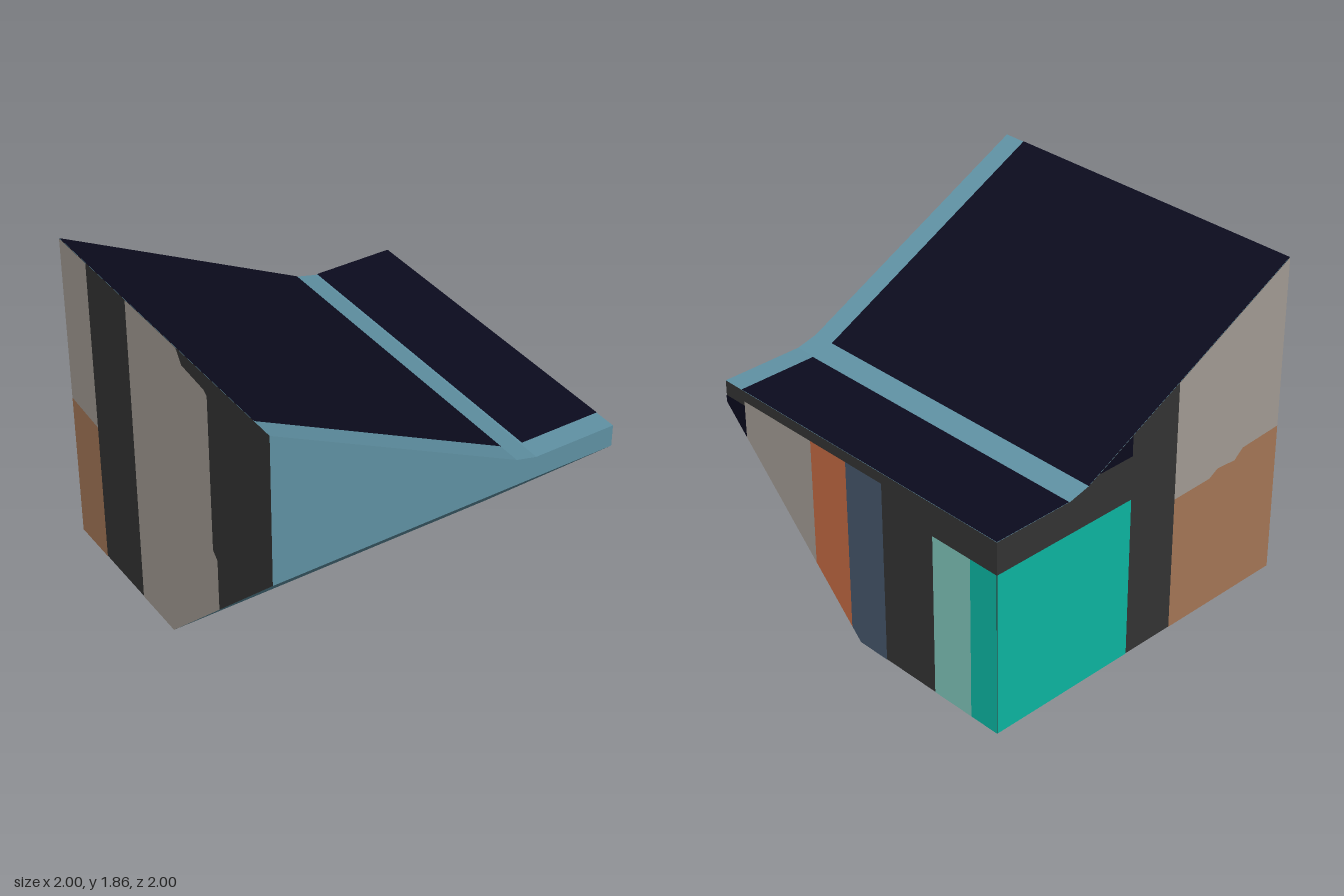
import * as THREE from 'three';

const paint = (name, color) => {
  const m = new THREE.MeshStandardMaterial({ color });
  m.name = name;
  return m;
};

export function createModel() {
  const model = new THREE.Group();
  model.name = 'slopedBlock';

  const steelBlue = paint('steelBlue', 0x6092a4);
  const navy = paint('navy', 0x0b0b1e);
  const charcoal = paint('charcoal', 0x353535);
  const beige = paint('beige', 0xa7a098);
  const orange = paint('orange', 0xc86c45);
  const slate = paint('slate', 0x47596e);
  const mint = paint('mint', 0x81c9bd);
  const teal = paint('teal', 0x0dbba6);
  const brown = paint('brown', 0xa97a59);

  const LIFT = 0.002; // painted panels sit just off the walls
  const ridge = [-1, 1.86], valley = [0.4, 1.155], lip = [0.52, 1.125], eave = [1, 1.125];
  const roofLine = [ridge, valley, lip, eave];

  // Flat four-cornered face, corners counter-clockwise from outside
  function quad(name, material, corners) {
    const g = new THREE.BufferGeometry();
    g.setAttribute('position', new THREE.Float32BufferAttribute(corners.flat(), 3));
    g.setIndex([0, 1, 2, 0, 2, 3]);
    g.computeVertexNormals();
    const mesh = new THREE.Mesh(g, material);
    mesh.name = name;
    model.add(mesh);
  }

  // Roof segment between two profile points
  const roof = (name, material, [x0, y0], [x1, y1], front, lift = 0) =>
    quad(name, material, [
      [x0, y0 + lift, front], [x1, y1 + lift, front],
      [x1, y1 + lift, -1], [x0, y0 + lift, -1]]);

  // Upright wall; outlines are given in world (x or z, y)
  function wall(name, angle, sign) {
    const group = new THREE.Group();
    group.name = name;
    group.rotation.y = angle;
    model.add(group);
    return (part, material, outline, lift = LIFT) => {
      const shape = new THREE.Shape(outline.map(([s, y]) => new THREE.Vector2(sign * s, y)));
      const mesh = new THREE.Mesh(new THREE.ShapeGeometry(shape), material);
      mesh.name = part;
      mesh.position.z = 1 + lift;
      group.add(mesh);
    };
  }

  // Roof skin and its two dark panels
  for (let i = 0; i < 3; i++) roof('roofSkin', steelBlue, roofLine[i], roofLine[i + 1], 1);
  roof('pitchedRoofPanel', navy, ridge, valley, 0.87, LIFT);
  roof('flatRoofPanel', navy, [0.53, 1.125], eave, 0.87, LIFT);

  // Sloping underside and base
  quad('undercut', steelBlue, [[-1, 0, 0], [1, 0, 0], [1, 1, 1], [-1, 1, 1]]);
  quad('base', steelBlue, [[-1, 0, -1], [1, 0, -1], [1, 0, 0], [-1, 0, 0]]);

  // Front fascia
  const front = wall('frontWall', 0, 1);
  front('fascia', steelBlue, [[-1, 1], [1, 1], ...[...roofLine].reverse()], 0);

  // Low side wall with coloured bands
  const low = wall('lowSideWall', Math.PI / 2, -1);
  low('lowSide', charcoal, [[-1, 0], [0, 0], [1, 1], [1, 1.125], [-1, 1.125]], 0);
  low('cornerPatch', navy, [[0.85, 0.85], [1, 1], [1, 1.04], [0.85, 1.04]]);
  low('beigeBand', beige, [[0.33, 0.33], [0.85, 0.85], [0.85, 1.065], [0.33, 1.065]]);
  low('orangeBand', orange, [[0.065, 0.065], [0.33, 0.33], [0.33, 1.065], [0.065, 1.065]]);
  low('slateBand', slate, [[-0.2, 0], [0, 0], [0.065, 0.065], [0.065, 1.065], [-0.2, 1.065]]);
  low('mintBand', mint, [[-0.82, 0], [-0.56, 0], [-0.56, 0.94], [-0.82, 0.94]]);
  low('tealBand', teal, [[-1, 0], [-0.82, 0], [-0.82, 0.94], [-1, 0.94]]);

  // Back wall
  const jagged = [[-0.22, 0.79], [-0.48, 0.795], [-0.54, 0.83], [-0.67, 0.82], [-0.73, 0.87], [-1, 0.885]];
  const back = wall('backWall', Math.PI, -1);
  back('backSide', charcoal, [[-1, 0], [1, 0], ...[...roofLine].reverse()], 0);
  back('tealPanel', teal, [[0.1, 0], [1, 0], [1, 0.94], [0.1, 0.94]]);
  back('roofNotch', navy, [[0.33, 1.19], [0.1, 1.306], [0.1, 1.19]]);
  back('brownPanel', brown, [[-1, 0], [-0.22, 0], ...jagged]);
  back('beigePanel', beige, [...jagged, ridge, [-0.22, 1.467]]);

  // Tall side wall
  const tall = wall('tallSideWall', -Math.PI / 2, 1);
  tall('tallSide', charcoal, [[-1, 0], [0, 0], [1, 1], [1, 1.86], [-1, 1.86]], 0);
  tall('brownReturn', brown, [[-1, 0], [-0.72, 0], [-0.72, 0.86], [-1, 0.885]]);
  tall('beigeReturn', beige, [[-1, 0.885], [-0.72, 0.86], [-0.72, 1.86], [-1, 1.86]]);
  tall('beigePanel', beige, [
    [-0.32, 0], [0, 0], [0.49, 0.49], [0.49, 0.8], [0.45, 0.84],
    [0.45, 1.75], [0.42, 1.77], [0.22, 1.79], [0.17, 1.86], [-0.32, 1.86]]);

  return model;
}
